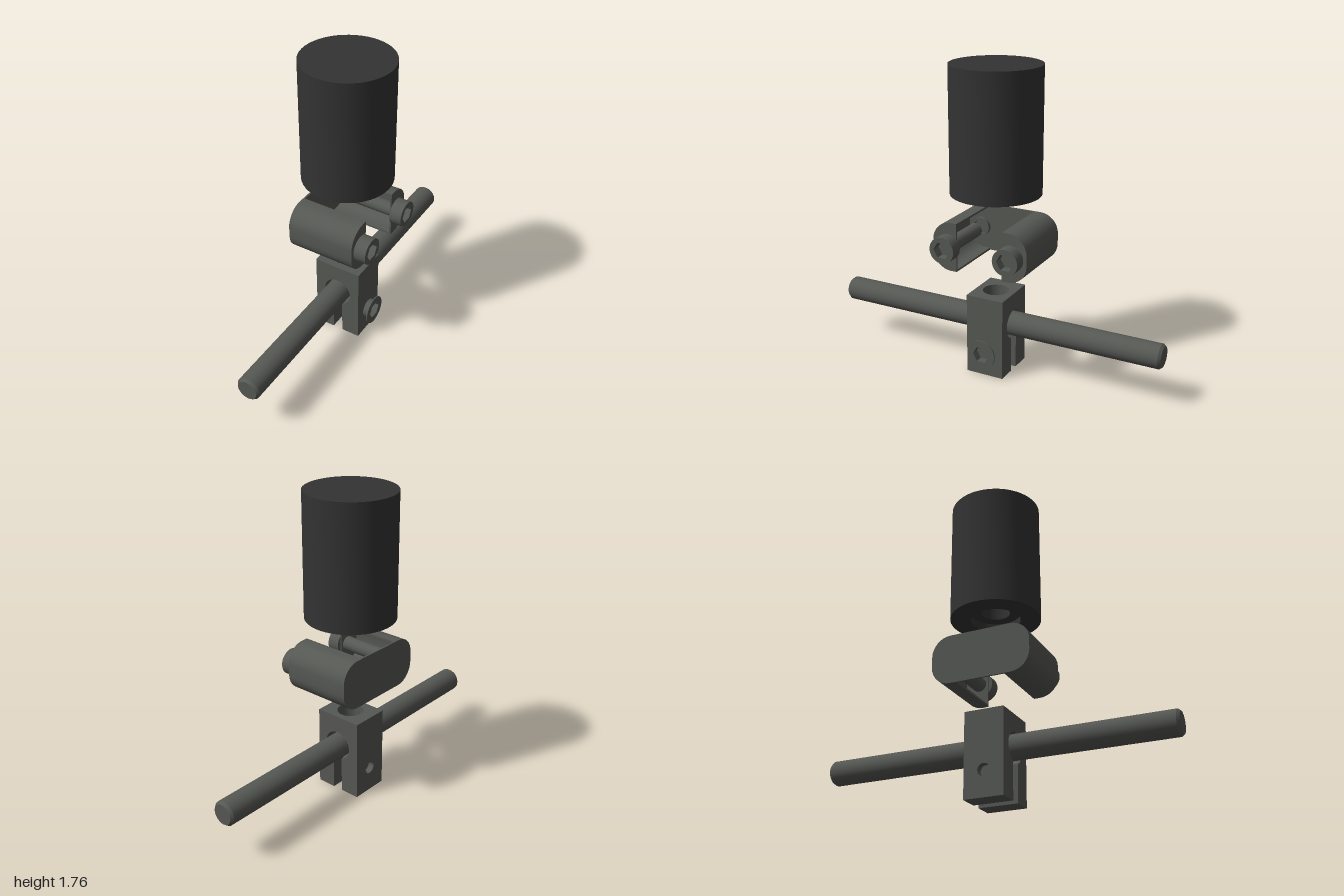
import * as THREE from 'three';
import { toCreasedNormals } from 'three/addons/utils/BufferGeometryUtils.js';

const metal = new THREE.MeshStandardMaterial({ color: 0x565854 });
const dark = new THREE.MeshStandardMaterial({ color: 0x333333 });
const CX = -0.01; // common centre line in x

function add(parent, name, geometry, material = metal) {
  const mesh = new THREE.Mesh(toCreasedNormals(geometry, 0.5), material);
  mesh.name = name;
  parent.add(mesh);
  return mesh;
}

// Extrude a shape drawn in (-z, y) along x, from x0 to x1
function extrudeX(shape, x0, x1) {
  return new THREE.ExtrudeGeometry(shape, { depth: x1 - x0, bevelEnabled: false, curveSegments: 16 })
    .rotateY(Math.PI / 2).translate(x0, 0, 0);
}

function cylinderX(radius, x0, x1, sides = 24) {
  return new THREE.CylinderGeometry(radius, radius, x1 - x0, sides)
    .rotateZ(Math.PI / 2).translate((x0 + x1) / 2, 0, 0);
}

function rect(x0, y0, x1, y1) {
  return new THREE.Shape([[x0, y0], [x1, y0], [x1, y1], [x0, y1]].map(p => new THREE.Vector2(...p)));
}

function circleHole(x, y, r) {
  return new THREE.Path().absarc(x, y, r, 0, Math.PI * 2, true);
}

function hexagon(r) {
  const pts = [];
  for (let i = 0; i < 6; i++) {
    const a = -i * Math.PI / 3;
    pts.push(new THREE.Vector2(r * Math.cos(a), r * Math.sin(a)));
  }
  return pts;
}

// Disc with a hexagonal socket through it
function socketRing(radius, hex) {
  const s = new THREE.Shape().absarc(0, 0, radius, 0, Math.PI * 2);
  s.holes.push(new THREE.Path(hexagon(hex)));
  return s;
}

// Rounded end of the clamp body as a run of points, on side s, inset by w
function endCurve(s, edge, w = 0) {
  const r = 0.11, cu = 0.287 - r, cy = 0.14 - r;
  const pts = [new THREE.Vector2(s * edge, -0.14 + w)];
  for (const q of [-1, 0]) {
    for (let i = 0; i <= 8; i++) {
      const a = (q + i / 8) * Math.PI / 2;
      pts.push(new THREE.Vector2(s * (cu + (r - w) * Math.cos(a)),
        (q < 0 ? -cy : cy) + (r - w) * Math.sin(a)));
    }
  }
  pts.push(new THREE.Vector2(s * edge, 0.14 - w));
  return pts;
}

function buildKnob() {
  const g = new THREE.Group();
  g.name = 'knob';
  // Solid cylinder with a stepped recess underneath
  const profile = [[0, 1.3], [0.08, 1.3], [0.08, 1.1], [0.14, 1.1], [0.14, 1.055],
    [0.255, 1.055], [0.255, 1.765], [0, 1.765]].map(p => new THREE.Vector2(...p));
  add(g, 'knobBody', new THREE.LatheGeometry(profile, 48).translate(CX, 0, 0), dark);
  return g;
}

function buildClamp() {
  const g = new THREE.Group();
  g.name = 'clamp';
  g.position.y = 0.77;
  // Back plate closing the -x side
  const plate = new THREE.Shape([...endCurve(1, 0), ...endCurve(-1, 0).reverse()]);
  add(g, 'clampPlate', extrudeX(plate, -0.21, -0.2));

  for (const s of [1, -1]) {
    // Hollow rounded end, open towards the middle
    const shell = new THREE.Shape([...endCurve(s, 0.14), ...endCurve(s, 0.14, 0.012).reverse()]);
    add(g, 'clampEnd', extrudeX(shell, -0.2, 0.18));
    add(g, 'clampEndCap', extrudeX(new THREE.Shape(endCurve(s, 0.14)), 0.18, 0.19));

    // Socket screw
    const bolt = new THREE.Group();
    bolt.name = 'clampBolt';
    bolt.position.z = s * 0.193;
    add(bolt, 'boltHead', extrudeX(socketRing(0.075, 0.05), 0.21, 0.262));
    add(bolt, 'boltHeadBase', cylinderX(0.075, 0.19, 0.21, 32));
    add(bolt, 'boltShaft', cylinderX(0.042, -0.12, 0.18));
    // Threaded seat the shaft points at
    const seat = new THREE.Shape().absarc(0, 0, 0.055, 0, Math.PI * 2);
    seat.holes.push(circleHole(0, 0, 0.042));
    add(bolt, 'boltSeat', extrudeX(seat, -0.2, -0.18));
    g.add(bolt);
  }
  return g;
}

function buildBlock() {
  const g = new THREE.Group();
  g.name = 'rodBlock';
  const x0 = -0.155, x1 = 0.13, zh = 0.113, bore = 0.085, by = 0.29, slit = 0.03;

  // Two legs either side of the slit, drilled for the pinch bolt
  for (const [a, b] of [[x0, CX - slit], [CX + slit, x1]]) {
    const leg = rect(-zh, 0, zh, 0.2);
    leg.holes.push(circleHole(0, 0.145, 0.035));
    add(g, 'blockLeg', extrudeX(leg, a, b));
  }

  // Middle with the rod bore opening into the slit
  const low = -Math.sqrt(bore * bore - slit * slit);
  const mid = new THREE.Shape();
  mid.moveTo(CX + slit, 0.2);
  mid.lineTo(x1, 0.2);
  mid.lineTo(x1, 0.38);
  mid.lineTo(x0, 0.38);
  mid.lineTo(x0, 0.2);
  mid.lineTo(CX - slit, 0.2);
  mid.absarc(CX, by, bore, Math.atan2(low, -slit), Math.atan2(low, slit), true);
  add(g, 'blockMiddle', new THREE.ExtrudeGeometry(mid,
    { depth: 2 * zh, bevelEnabled: false, curveSegments: 32 }).translate(0, 0, -zh));

  // Top with a vertical hole
  const top = rect(x0, -zh, x1, zh);
  top.holes.push(circleHole(CX, 0, 0.075));
  add(g, 'blockTop', new THREE.ExtrudeGeometry(top,
    { depth: 0.094, bevelEnabled: false, curveSegments: 24 }).rotateX(-Math.PI / 2).translate(0, 0.38, 0));

  // Pinch bolt: thin flanged head on a hexagonal socket
  const bolt = new THREE.Group();
  bolt.name = 'pinchBolt';
  bolt.position.y = 0.145;
  add(bolt, 'pinchFlange', extrudeX(socketRing(0.085, 0.05), 0.166, 0.174));
  add(bolt, 'pinchSocket', extrudeX(socketRing(0.056, 0.05), 0.13, 0.166));
  add(bolt, 'pinchShaft', cylinderX(0.033, -0.12, 0.135));
  g.add(bolt);
  return g;
}

function buildRod() {
  // Round bar with chamfered ends, very slightly turned
  const profile = [[0, -1], [0.058, -1], [0.07, -0.985], [0.07, 0.985], [0.058, 1], [0, 1]]
    .map(p => new THREE.Vector2(...p));
  const g = new THREE.Group();
  g.name = 'rod';
  g.position.set(-0.012, 0.29, 0);
  g.rotation.y = 0.006;
  add(g, 'rodBar', new THREE.LatheGeometry(profile, 32).rotateX(Math.PI / 2));
  return g;
}

export function createModel() {
  const model = new THREE.Group();
  model.name = 'rodClampAssembly';
  model.add(buildKnob(), buildClamp(), buildBlock(), buildRod());
  return model;
}
